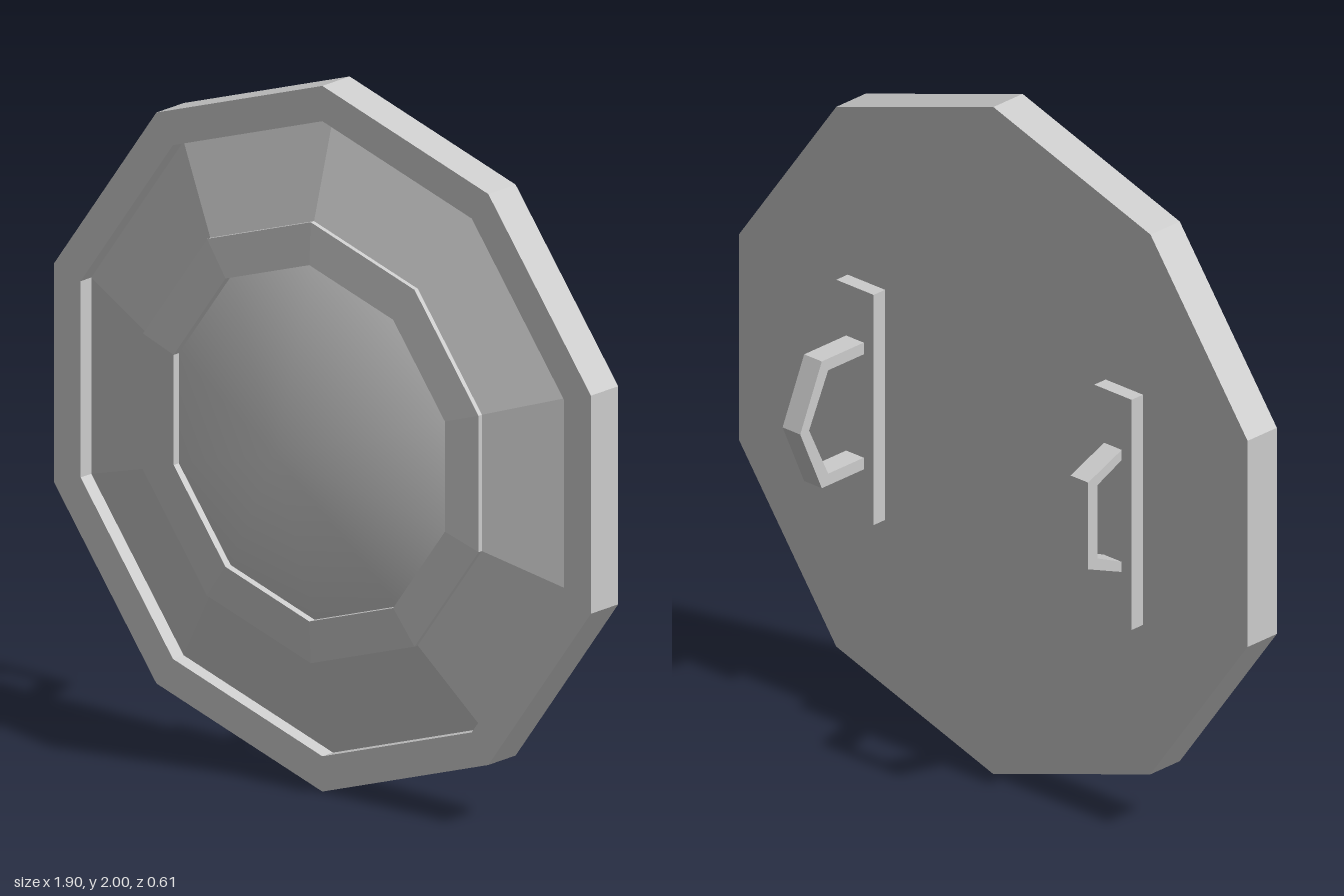
import * as THREE from 'three';
import { mergeVertices } from 'three/addons/utils/BufferGeometryUtils.js';

const SIDES = 10;
const flat = new THREE.MeshStandardMaterial({ color: 0xcccccc, flatShading: true });
const smooth = new THREE.MeshStandardMaterial({ color: 0xcccccc });

// Ten-sided turned form, axis along z; profile points are [radius, z]
function turned(profile) {
  const pts = profile.map(([r, z]) => new THREE.Vector2(r, z));
  return new THREE.LatheGeometry(pts, SIDES).rotateX(Math.PI / 2);
}

function add(parent, name, geometry, material = flat) {
  const mesh = new THREE.Mesh(geometry, material);
  mesh.name = name;
  parent.add(mesh);
  return mesh;
}

// Mounting plate with a bent grip; outline points are [distance behind, y]
function handle(name, x, outline) {
  const group = new THREE.Group();
  group.name = name;
  add(group, 'handlePlate', new THREE.BoxGeometry(0.14, 0.69, 0.045)).position.set(0, 0.975, -0.0325);
  const shape = new THREE.Shape(outline.map(([d, y]) => new THREE.Vector2(d, y)));
  const grip = new THREE.ExtrudeGeometry(shape, { depth: 0.066, bevelEnabled: false });
  grip.translate(0, 0, -0.033).rotateY(Math.PI / 2);
  add(group, 'grip', grip);
  group.position.x = x;
  return group;
}

export function createModel() {
  const model = new THREE.Group();
  model.name = 'shield';

  const disc = new THREE.Group();
  disc.name = 'shieldDisc';
  disc.position.y = 1;
  model.add(disc);

  // Thick outer rim with a closed back
  add(disc, 'rim', turned([[0, -0.01], [1, -0.01], [1, 0.105], [0.9, 0.105], [0.9, 0.06]]));
  // Sloping faceted band inside the rim
  add(disc, 'slopedBand', turned([[0.9, 0.06], [0.625, 0.14]]));
  // Raised ring around the boss
  add(disc, 'raisedRing', turned([[0.625, 0.14], [0.625, 0.154], [0.505, 0.16], [0.505, 0.138]]));

  // Smooth pointed boss, with shared normals across its facets
  const cone = turned([[0.505, 0.138], [0, 0.305]]);
  cone.deleteAttribute('normal');
  cone.deleteAttribute('uv');
  const boss = mergeVertices(cone);
  boss.computeVertexNormals();
  add(disc, 'boss', boss, smooth);

  // Deep pointed arm loop and shallow hand grip on the back
  model.add(handle('armLoop', 0.475, [
    [0.05, 1.165], [0.22, 1.165], [0.305, 0.975], [0.22, 0.785], [0.05, 0.785],
    [0.05, 0.82], [0.195, 0.82], [0.27, 0.975], [0.195, 1.13], [0.05, 1.13],
  ]));
  model.add(handle('handGrip', -0.49, [
    [0.05, 1.16], [0.187, 1.105], [0.187, 0.845], [0.05, 0.79],
    [0.05, 0.82], [0.15, 0.865], [0.15, 1.085], [0.05, 1.13],
  ]));

  return model;
}
